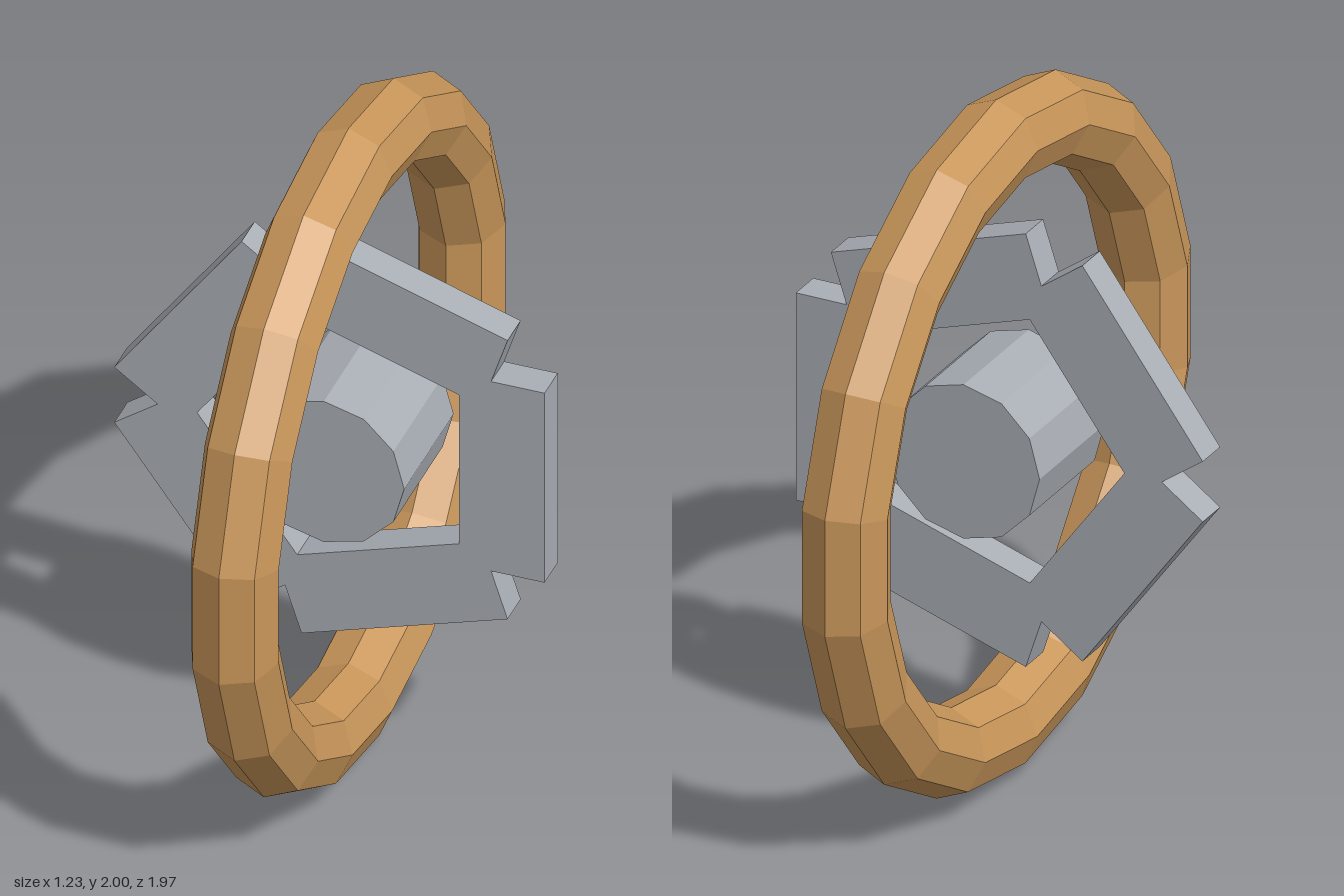
import * as THREE from 'three';

export function createModel() {
  const group = new THREE.Group();
  const wood = new THREE.MeshStandardMaterial({ name: 'wood', color: 0xc8965a, flatShading: true });
  const metal = new THREE.MeshStandardMaterial({ name: 'grey metal', color: 0xa9aeb5, flatShading: true });

  // All parts share one centre
  const core = new THREE.Group();
  core.name = 'core';
  core.position.set(0.035, 1, 0);
  group.add(core);

  const add = (name, geometry, material, parent = core) => {
    const mesh = new THREE.Mesh(geometry, material);
    mesh.name = name;
    parent.add(mesh);
    return mesh;
  };

  // Faceted ring standing across the x axis, one corner at the top
  const ring = new THREE.TorusGeometry(0.875, 0.125, 8, 18);
  ring.rotateZ(Math.PI / 2).rotateY(Math.PI / 2);
  add('outerRing', ring, wood);

  // Twelve-sided hub along z
  const hub = new THREE.CylinderGeometry(0.23, 0.23, 0.375, 12);
  hub.rotateX(Math.PI / 2);
  add('hub', hub, metal);

  // Five bars forming a pentagon around the hub
  const frame = new THREE.Group();
  frame.name = 'pentagonFrame';
  core.add(frame);
  const bar = new THREE.BoxGeometry(0.245, 0.62, 0.1);
  bar.translate(0.4575, 0, 0);
  for (let i = 0; i < 5; i++) {
    add('frameBar', bar, metal, frame).rotation.z = (i * Math.PI * 2) / 5;
  }

  return group;
}
